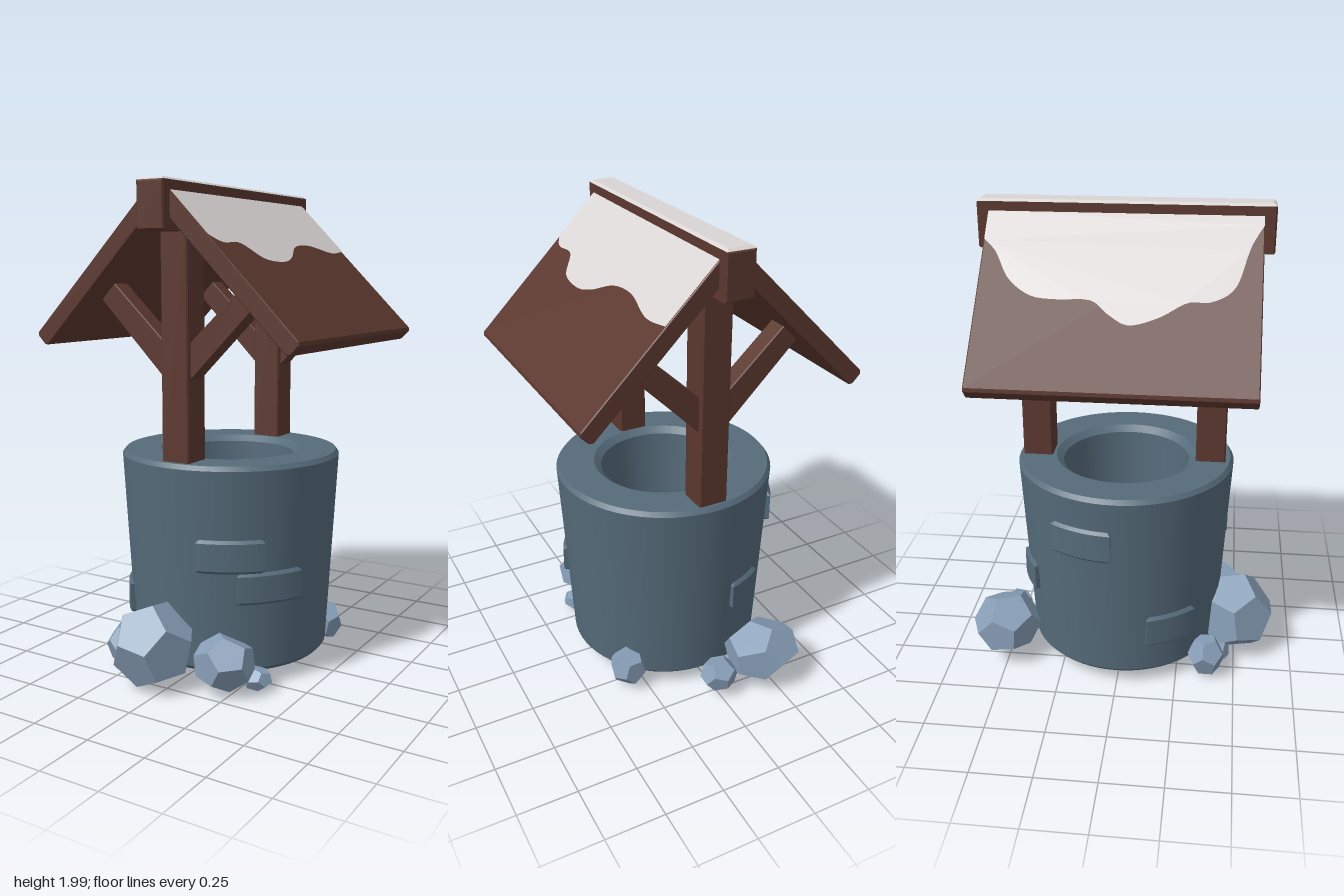
import * as THREE from 'three';
import { toCreasedNormals } from 'three/addons/utils/BufferGeometryUtils.js';

const mat = (name, color, side = THREE.FrontSide) => {
  const m = new THREE.MeshStandardMaterial({ color, side });
  m.name = name;
  return m;
};

export function createModel() {
  const model = new THREE.Group();
  model.name = 'well';
  const wood = mat('wood', 0x5c382f);
  const stone = mat('stone', 0x556b7a);
  const rockGrey = mat('paleRock', 0x879eb7);
  const snow = mat('snow', 0xd9d5d4);
  const dark = mat('darkness', 0x0c0c0c, THREE.DoubleSide);

  const add = (name, geometry, material) => {
    const mesh = new THREE.Mesh(geometry, material);
    mesh.name = name;
    model.add(mesh);
    return mesh;
  };
  const shapeOf = pts => new THREE.Shape(pts.map(p => new THREE.Vector2(...p)));
  // Bevelled prism between z0 and z1
  const prism = (shape, z0, z1, b, curveSegments = 8) => {
    const g = new THREE.ExtrudeGeometry(shape, {
      depth: z1 - z0 - 2 * b, bevelEnabled: true, bevelSegments: 1,
      bevelSize: b, bevelThickness: b, bevelOffset: -b, curveSegments,
    });
    return g.translate(0, 0, z0 + b);
  };
  const rect = (x0, x1, y0, y1) => shapeOf([[x0, y0], [x1, y0], [x1, y1], [x0, y1]]);

  // Tapered stone wall with a through hole
  const profile = [
    [0.23, 0.09], [0.4, 0.068], [0.415, 0.085], [0.462, 0.902], [0.448, 0.92],
    [0.3, 0.92], [0.27, 0.895], [0.23, 0.09],
  ].map(p => new THREE.Vector2(...p));
  add('wall', toCreasedNormals(new THREE.LatheGeometry(profile, 64), 0.5), stone);
  add('shaftBottom', new THREE.CircleGeometry(0.233, 48).rotateX(Math.PI / 2).translate(0, 0.1, 0), dark);

  // Raised curved bricks: start and end angle (from front towards +x), bottom, top
  [
    [13, 48, 0.49, 0.625],
    [34, 70, 0.36, 0.49],
    [-73, -43, 0.215, 0.355],
    [-125, -92, 0.635, 0.775],
    [194, 216, 0.36, 0.49],
  ].forEach(([a0, a1, y0, y1]) => {
    const r = 0.41 + 0.05 * ((y0 + y1) / 2 - 0.07) / 0.85 + 0.022;
    const t0 = THREE.MathUtils.degToRad(a0 - 90), t1 = THREE.MathUtils.degToRad(a1 - 90);
    const s = new THREE.Shape();
    s.absarc(0, 0, r, t0, t1, false);
    s.absarc(0, 0, r - 0.07, t1, t0, true);
    const g = prism(s, y0, y1, 0.012, 10).rotateX(-Math.PI / 2);
    add('brick', toCreasedNormals(g, 0.5), stone);
  });

  // Posts with their diagonal braces
  for (const z of [0.364, -0.374]) {
    add('post', prism(rect(-0.062, 0.062, 0.88, 1.84), z - 0.063, z + 0.063, 0.006), wood);
    for (const s of [1, -1]) {
      const pts = [[0, 1.185], [0.375, 1.56], [0.31, 1.625], [0, 1.335]].map(([x, y]) => [s * x, y]);
      add('brace', prism(shapeOf(pts), z - 0.042, z + 0.042, 0.004), wood);
    }
  }

  // Sloping roof boards
  for (const s of [1, -1]) {
    const pts = [
      [0.03, 1.98], [0.03, 1.88], [0.54, 1.37], [0.558, 1.37], [0.592, 1.405], [0.59, 1.42],
    ].map(([x, y]) => [s * x, y]);
    add('roofBoard', prism(shapeOf(pts), -0.535, 0.535, 0.004), wood);
  }

  // Ridge beam and its snow cap
  add('ridgeBeam', prism(rect(-0.06, 0.06, 1.81, 1.991), -0.58, 0.58, 0.006), wood);
  const cap = new THREE.BoxGeometry(0.118, 0.009, 1.158).toNonIndexed();
  const cp = cap.attributes.position;
  for (let i = 0; i < cp.count; i++) {
    if (cp.getY(i) > 0) {
      cp.setX(i, cp.getX(i) - Math.sign(cp.getX(i)) * 0.012);
      cp.setZ(i, cp.getZ(i) - Math.sign(cp.getZ(i)) * 0.012);
    }
  }
  cap.computeVertexNormals();
  add('ridgeSnow', cap.translate(0, 1.9955, 0), snow);

  // Snow sheets on the roof: melting edge as x, z pairs from back to front
  const edges = [
    [[-0.15, -0.533], [-0.19, -0.48], [-0.27, -0.42], [-0.32, -0.33], [-0.33, -0.23], [-0.33, -0.1],
      [-0.37, -0.03], [-0.4, 0.05], [-0.375, 0.16], [-0.33, 0.26], [-0.325, 0.35], [-0.28, 0.435],
      [-0.16, 0.485], [-0.09, 0.533]],
    [[0.265, -0.533], [0.275, -0.4], [0.247, -0.23], [0.255, -0.09], [0.297, 0.02], [0.317, 0.12],
      [0.307, 0.26], [0.25, 0.35], [0.25, 0.47], [0.223, 0.533]],
  ];
  for (const edge of edges) {
    const x0 = 0.06 * Math.sign(edge[0][0]);
    const curve = new THREE.SplineCurve(edge.map(([x, z]) => new THREE.Vector2(x, -z)));
    const outline = [new THREE.Vector2(x0, 0.533), ...curve.getPoints(60), new THREE.Vector2(x0, -0.533)];
    const g = new THREE.ShapeGeometry(new THREE.Shape(outline));
    const p = g.attributes.position;
    for (let i = 0; i < p.count; i++) {
      const x = p.getX(i);
      p.setXYZ(i, x, 2.015 - Math.abs(x), -p.getY(i));
    }
    g.computeVertexNormals();
    add('roofSnow', g, snow);
  }

  // Faceted rocks round the foot: centre, full size, turn
  [
    [[-0.065, 0.185, 0.5], [0.35, 0.35, 0.32], [0.3, 0.5, 0.2]],
    [[0.22, 0.14, 0.42], [0.23, 0.22, 0.23], [0.9, 0.2, 0.5]],
    [[-0.29, 0.1, 0.38], [0.16, 0.16, 0.16], [0.2, 1.1, 0.7]],
    [[-0.22, 0.165, -0.51], [0.3, 0.24, 0.3], [0.6, 0.9, 0.1]],
    [[-0.01, 0.105, -0.51], [0.16, 0.14, 0.15], [0.4, 0.3, 0.9]],
    [[0.32, 0.11, -0.29], [0.15, 0.18, 0.14], [1.0, 0.6, 0.3]],
    [[-0.19, 0.06, 0.42], [0.14, 0.1, 0.12], [0.7, 0.1, 0.4]],
    [[0.31, 0.055, 0.32], [0.13, 0.09, 0.12], [0.1, 0.8, 0.6]],
  ].forEach(([centre, size, turn]) => {
    const g = new THREE.DodecahedronGeometry(1);
    g.applyMatrix4(new THREE.Matrix4().makeRotationFromEuler(new THREE.Euler(...turn)));
    g.computeBoundingBox();
    const b = g.boundingBox.getSize(new THREE.Vector3());
    g.center().scale(size[0] / b.x, size[1] / b.y, size[2] / b.z).translate(...centre);
    g.computeVertexNormals();
    add('rock', g, rockGrey);
  });

  return model;
}
